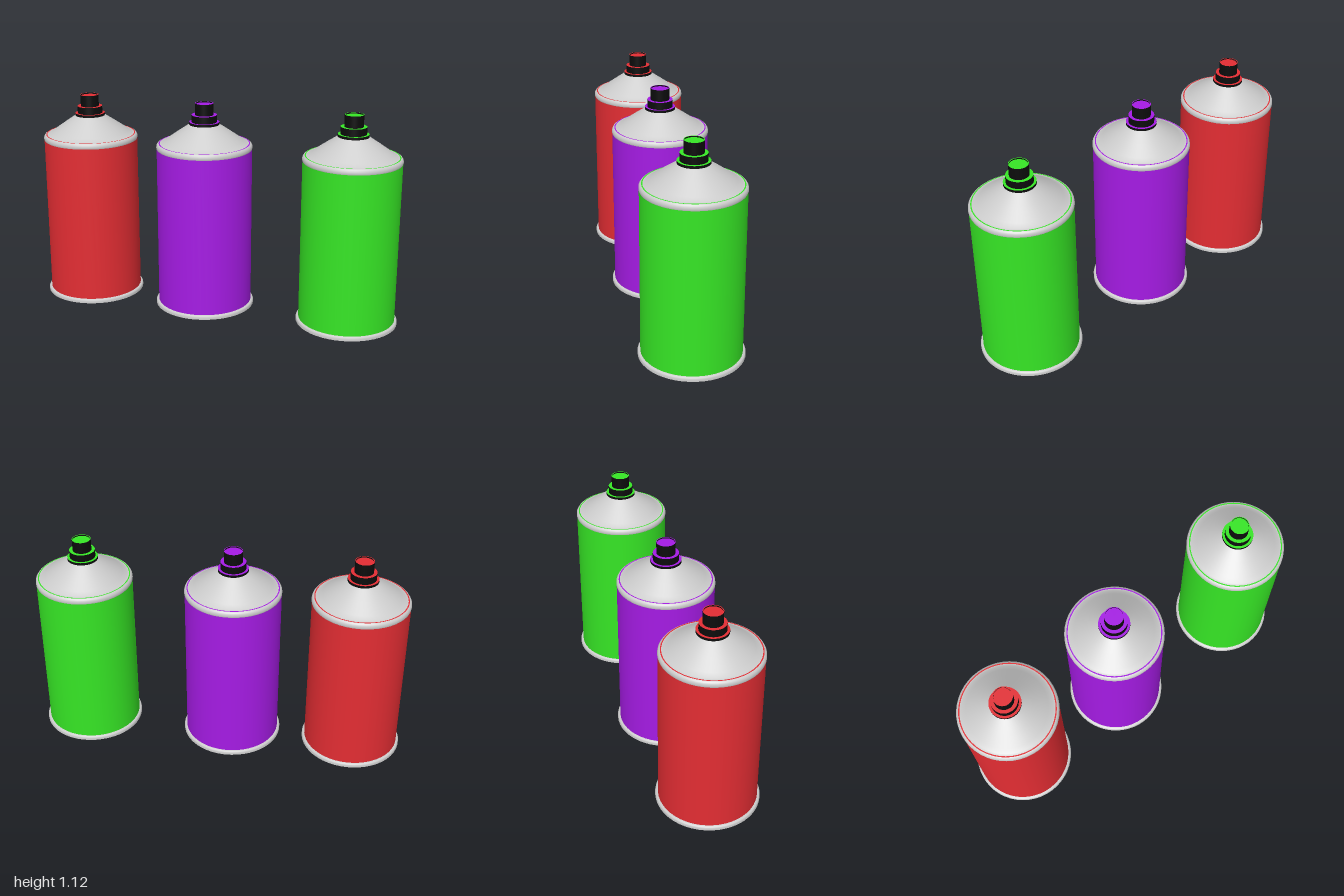
import * as THREE from 'three';

const SIDES = 48;

// One lathe per smooth run of the profile; separate runs meet in a sharp edge.
function turned(name, material, ...runs) {
  const part = new THREE.Group();
  part.name = name;
  for (const run of runs) {
    const points = run.map(([r, y]) => new THREE.Vector2(r, y));
    const mesh = new THREE.Mesh(new THREE.LatheGeometry(points, SIDES), material);
    mesh.name = name + 'Surface';
    part.add(mesh);
  }
  return part;
}

function makeCan(color) {
  const paint = new THREE.MeshStandardMaterial({ color });
  const metal = new THREE.MeshStandardMaterial({ color: 0xcccccc });
  const black = new THREE.MeshStandardMaterial({ color: 0x0c0c0c });
  const can = new THREE.Group();

  can.add(
    // painted underside and bottom rim
    turned('underside', paint, [[0, 0], [0.26, 0]]),
    turned('bottomRim', metal,
      [[0.26, 0], [0.268, 0]],
      [[0.268, 0], [0.268, 0.012], [0.264, 0.019], [0.254, 0.021]]),
    // painted wall
    turned('body', paint, [[0.254, 0.018], [0.254, 0.877]]),
    // rounded shoulder ring with a painted seam
    turned('shoulderRing', metal,
      [[0.254, 0.876], [0.256, 0.882], [0.255, 0.893], [0.25, 0.901], [0.243, 0.905]]),
    turned('seam', paint, [[0.243, 0.905], [0.237, 0.905]]),
    // conical top, blending from the flat ring into the slope
    turned('dome', metal,
      [[0.237, 0.905], [0.226, 0.907], [0.203, 0.922], [0.14, 0.966], [0.078, 1.008]]),
  );

  // stepped valve: black walls and painted ledges
  const steps = [[0.08, 1.004, 1.02], [0.067, 1.02, 1.058], [0.049, 1.058, 1.12]];
  steps.forEach(([r, y0, y1], i) => {
    const inner = i < steps.length - 1 ? steps[i + 1][0] : 0.045;
    can.add(
      turned('valveStep', black, [[r, y0], [r, y1]]),
      turned('valveLedge', paint, [[r, y1], [inner, y1]]),
    );
  });
  // shallow dished button
  can.add(
    turned('buttonLip', black, [[0.045, 1.12], [0.045, 1.114]]),
    turned('button', paint, [[0.045, 1.114], [0, 1.114]]),
  );
  return can;
}

export function createModel() {
  const model = new THREE.Group();
  model.name = 'sprayCans';
  const cans = [
    ['redCan', 0xe32d33, -0.732],
    ['purpleCan', 0xa51be4, -0.067],
    ['greenCan', 0x36e625, 0.732],
  ];
  for (const [name, color, x] of cans) {
    const can = makeCan(color);
    can.name = name;
    can.position.x = x;
    model.add(can);
  }
  return model;
}
